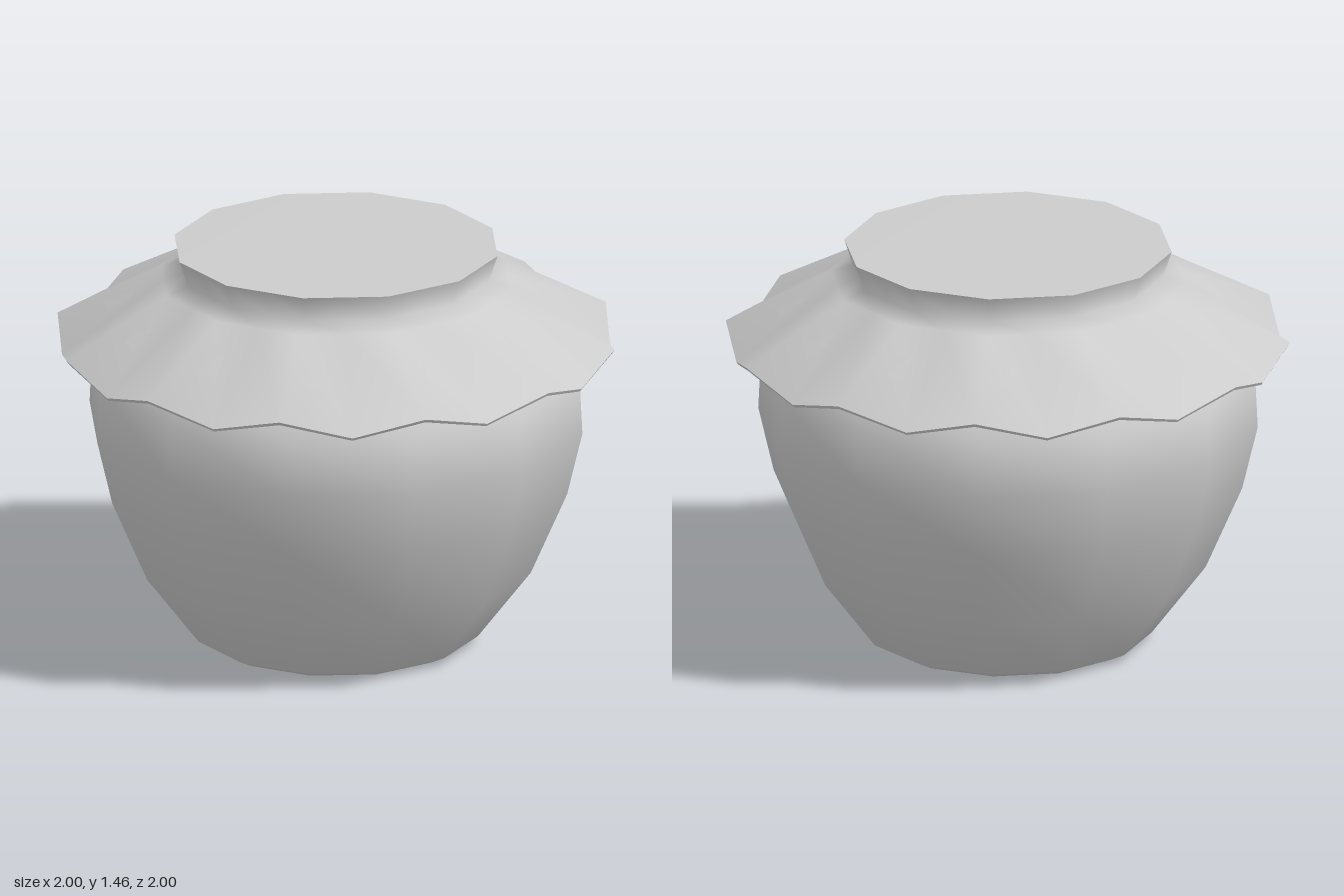
import * as THREE from 'three';
import { mergeVertices } from 'three/addons/utils/BufferGeometryUtils.js';

const SIDES = 12;
const HEM_DROP = 0.065;
const material = new THREE.MeshStandardMaterial({ color: 0xcccccc });
const clothMaterial = new THREE.MeshStandardMaterial({ color: 0xcccccc, side: THREE.DoubleSide });

// Turned part with welded seam and smooth normals; profile is [radius, y] from bottom to top
function turned(name, profile, mat, segments = SIDES, shape = null) {
  const points = profile.map(([r, y]) => new THREE.Vector2(r, y));
  let geometry = new THREE.LatheGeometry(points, segments);
  geometry.deleteAttribute('uv');
  geometry.deleteAttribute('normal');
  if (shape) {
    const pos = geometry.attributes.position;
    for (let i = 0; i < pos.count; i++) {
      const column = Math.floor(i / points.length);
      shape(pos, i, column, profile[i % points.length][0]);
    }
  }
  geometry = mergeVertices(geometry, 1e-4);
  geometry.computeVertexNormals();
  const mesh = new THREE.Mesh(geometry, mat);
  mesh.name = name;
  return mesh;
}

// Every second column lies on the chord of the twelve-sided ring and sags at the hem
function zigzag(pos, i, column, radius) {
  if (column % 2 === 0) return;
  const chord = Math.cos(Math.PI / SIDES);
  const sag = THREE.MathUtils.smoothstep(radius, 0.63, 1.25) / THREE.MathUtils.smoothstep(1, 0.63, 1.25);
  pos.setXYZ(i, pos.getX(i) * chord, pos.getY(i) - HEM_DROP * sag, pos.getZ(i) * chord);
}

export function createModel() {
  const group = new THREE.Group();
  group.name = 'coveredJar';

  // Bellied jar with a small bevelled foot; the neck runs up under the cloth
  group.add(turned('jarBody', [
    [0, 0], [0.45, 0], [0.51, 0.03], [0.7, 0.28], [0.83, 0.58],
    [0.885, 0.81], [0.875, 1.01], [0.76, 1.12], [0.56, 1.22], [0.52, 1.33],
  ], material));

  // Cloth cover: flared skirt, tied neck and flaring rim
  group.add(turned('clothSkirt', [
    [1, 1.13], [0.63, 1.33], [0.55, 1.357], [0.58, 1.45],
  ], clothMaterial, SIDES * 2, zigzag));

  // Underside of the skirt and the thin hem edge
  group.add(turned('clothLining', [
    [0.53, 1.335], [0.62, 1.315], [0.993, 1.118],
  ], clothMaterial, SIDES * 2, zigzag));
  group.add(turned('clothHem', [
    [0.993, 1.118], [1, 1.13],
  ], clothMaterial, SIDES * 2, zigzag));

  // Taut, slightly domed cloth over the mouth
  group.add(turned('clothTop', [[0.58, 1.45], [0, 1.457]], material));

  return group;
}
